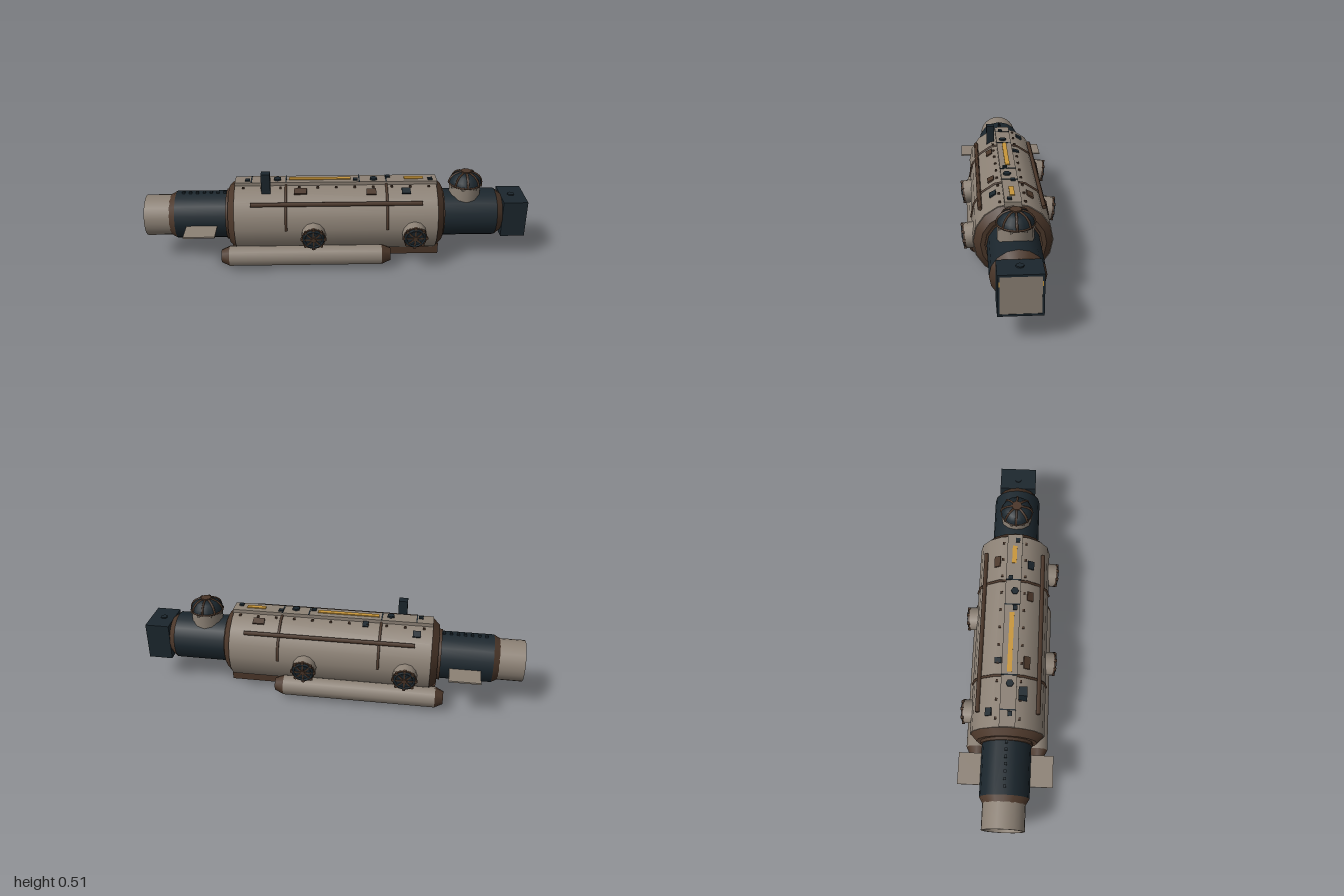
import * as THREE from 'three';

const mat = (color) => new THREE.MeshStandardMaterial({ color, side: THREE.DoubleSide });
const GREY = mat(0x8c8175), BROWN = mat(0x4a3629), DARK = mat(0x1b262d), YELLOW = mat(0xc8963a);
const AXIS = 0.238; // height of the hull centreline

export function createModel() {
  const model = new THREE.Group();

  const add = (parent, name, geometry, material, x = 0, y = 0, z = 0) => {
    const mesh = new THREE.Mesh(geometry, material);
    mesh.name = name;
    mesh.position.set(x, y, z);
    parent.add(mesh);
    return mesh;
  };
  const box = (name, m, w, h, d, x, y, z, parent = model) =>
    add(parent, name, new THREE.BoxGeometry(w, h, d), m, x, y, z);
  // Cylinder lying along x from x0 (radius r0) to x1 (radius r1)
  const tube = (name, m, x0, x1, r0, r1, sides = 16, y = AXIS, z = 0, open = false) =>
    add(model, name, new THREE.CylinderGeometry(r1, r0, x1 - x0, sides, 1, open).rotateZ(-Math.PI / 2),
      m, (x0 + x1) / 2, y, z);

  // Main hull with chamfered end collars
  tube('hull', GREY, -0.525, 0.52, 0.191, 0.191);
  for (const s of [-1, 1]) {
    const end = s < 0 ? -0.56 : 0.555, start = s < 0 ? -0.525 : 0.52;
    if (s < 0) tube('rearCollar', BROWN, end, start, 0.155, 0.187);
    else tube('frontCollar', BROWN, start, end, 0.187, 0.155);
  }
  box('keel', BROWN, 1.115, 0.06, 0.08, -0.003, 0.03, 0);

  // Bow section and camera head
  tube('bowSection', DARK, 0.54, 0.84, 0.126, 0.126);
  tube('bowBaseRing', BROWN, 0.545, 0.565, 0.135, 0.135);
  tube('bowTaper', BROWN, 0.84, 0.875, 0.126, 0.1);
  box('headBox', DARK, 0.12, 0.198, 0.198, 0.933, 0.237, 0);
  for (const s of [-1, 1]) {
    box('headFrameBar', DARK, 0.01, 0.01, 0.198, 0.995, 0.237 + s * 0.094, 0);
    box('headFramePost', DARK, 0.01, 0.198, 0.01, 0.995, 0.237, s * 0.094);
    box('headMarker', YELLOW, 0.004, 0.022, 0.004, 0.9985, 0.292, s * 0.091);
  }
  box('headPanel', GREY, 0.008, 0.18, 0.18, 0.994, 0.237, 0);
  add(model, 'headButton', new THREE.CylinderGeometry(0.018, 0.018, 0.008, 8), DARK, 0.93, 0.338, 0);

  // Stern section, open duct and propeller
  tube('sternSection', DARK, -0.84, -0.54, 0.126, 0.126);
  tube('sternBaseRing', BROWN, -0.575, -0.555, 0.135, 0.135);
  tube('sternTaper', BROWN, -0.872, -0.84, 0.108, 0.126);
  tube('ductOuter', GREY, -1, -0.865, 0.108, 0.108, 24, AXIS, 0, true);
  tube('ductInner', GREY, -1, -0.865, 0.096, 0.092, 24, AXIS, 0, true);
  add(model, 'ductLip', new THREE.RingGeometry(0.096, 0.108, 24).rotateY(-Math.PI / 2), GREY, -1, AXIS, 0);
  const propeller = new THREE.Group();
  propeller.name = 'propeller';
  propeller.position.set(-0.955, AXIS, 0);
  model.add(propeller);
  add(propeller, 'hub', new THREE.CylinderGeometry(0.026, 0.014, 0.07, 10).rotateZ(-Math.PI / 2), DARK);
  for (let i = 0; i < 5; i++) {
    const arm = new THREE.Group();
    arm.rotation.x = (i / 5) * Math.PI * 2;
    propeller.add(arm);
    box('blade', DARK, 0.006, 0.075, 0.034, 0, 0.052, 0, arm).rotation.y = 0.6;
  }
  for (let i = 0; i < 7; i++) box('sternBolt', DARK, 0.014, 0.012, 0.014, -0.8 + i * 0.036, 0.367, 0);

  // Parts repeated on both sides
  for (const s of [-1, 1]) {
    box('sternFin', GREY, 0.16, 0.008, 0.14, -0.7, 0.23, s * 0.17);

    // Ballast tanks with tapered caps
    tube('ballastTank', GREY, -0.56, 0.235, 0.055, 0.055, 8, 0.074, s * 0.16);
    tube('tankRearCap', BROWN, -0.602, -0.56, 0.034, 0.055, 8, 0.074, s * 0.16);
    tube('tankFrontCap', BROWN, 0.235, 0.282, 0.055, 0.034, 8, 0.074, s * 0.16);

    tube('sideRail', BROWN, -0.44, 0.44, 0.011, 0.011, 6, 0.368, s * 0.153);

    // Portholes, pointing outward and slightly down
    for (const x of s > 0 ? [-0.12, 0.4] : [-0.4, 0.12]) {
      const port = new THREE.Group();
      port.name = 'porthole';
      port.position.set(x, AXIS, 0);
      port.rotation.x = s * (Math.PI / 2 + 0.13);
      model.add(port);
      const disc = (name, m, r, h, y, n = 12) => add(port, name, new THREE.CylinderGeometry(r, r, h, n), m, 0, y, 0);
      disc('portholeNeck', GREY, 0.063, 0.08, 0.185);
      disc('portholeFlange', BROWN, 0.062, 0.01, 0.228);
      disc('portholeGlass', DARK, 0.042, 0.008, 0.232);
      add(port, 'portholeRim', new THREE.TorusGeometry(0.05, 0.007, 6, 16).rotateX(Math.PI / 2), DARK, 0, 0.233, 0);
      for (let i = 0; i < 8; i++) {
        const a = (i / 8) * Math.PI * 2;
        add(port, 'portholeBolt', new THREE.CylinderGeometry(0.009, 0.009, 0.014, 6), BROWN,
          Math.cos(a) * 0.058, 0.232, Math.sin(a) * 0.058);
      }
      for (let i = 0; i < 4; i++)
        box('portholeBar', BROWN, 0.092, 0.006, 0.008, 0, 0.236, 0, port).rotation.y = (i / 4) * Math.PI;
      disc('portholeBoss', BROWN, 0.014, 0.012, 0.238, 8);
    }
    // Rivets beside the deck
    for (let i = 0; i < 11; i++)
      box('deckRivet', BROWN, 0.012, 0.012, 0.012, -0.48 + i * 0.096, 0.418, s * 0.06);
  }

  // Straps arching over the hull
  for (const x of [-0.26, 0.26])
    add(model, 'strap', new THREE.TorusGeometry(0.192, 0.007, 6, 8, Math.PI).rotateY(Math.PI / 2), BROWN, x, AXIS, 0);

  // Deck spine with markings and fittings
  box('deck', GREY, 1.05, 0.035, 0.08, 0, 0.4215, 0);
  box('deckStripe', YELLOW, 0.32, 0.006, 0.024, -0.085, 0.441, 0);
  box('deckStripe', YELLOW, 0.1, 0.006, 0.024, 0.405, 0.441, 0);
  for (const x of [-0.44, -0.26, 0.12, 0.26]) box('deckSeam', DARK, 0.006, 0.003, 0.08, x, 0.44, 0);
  for (const [x, z] of [[-0.305, 0.005], [0.195, 0.01]])
    add(model, 'deckHatch', new THREE.CylinderGeometry(0.02, 0.02, 0.012, 6), DARK, x, 0.442, z);
  for (const [x, z] of [[-0.46, 0.012], [0.1, 0.015], [0.27, -0.015], [0.49, 0.015]])
    box('deckFitting', DARK, 0.024, 0.01, 0.022, x, 0.441, z);
  // Small plates lying on the hull's curve
  for (const [x, z, w, m] of [[-0.445, -0.095, 0.04, DARK], [0.36, 0.088, 0.045, DARK], [-0.185, 0.085, 0.065, BROWN],
    [0.375, -0.088, 0.06, BROWN], [-0.18, -0.06, 0.03, DARK], [0.18, 0.09, 0.05, BROWN]])
    box('hullPlate', m, w, 0.012, 0.035, x, AXIS + Math.sqrt(0.19 ** 2 - z * z), z).rotation.x = Math.asin(z / 0.19);

  box('periscope', DARK, 0.046, 0.117, 0.043, -0.362, 0.449, 0.072);

  // Observation turret with ribbed dome
  const turret = new THREE.Group();
  turret.name = 'turret';
  turret.position.set(0.68, 0, 0);
  model.add(turret);
  add(turret, 'turretNeck', new THREE.CylinderGeometry(0.083, 0.083, 0.11, 12), GREY, 0, 0.358, 0);
  const profile = [[0.086, 0.41], [0.079, 0.435], [0.06, 0.456], [0.034, 0.468], [0, 0.471]];
  add(turret, 'dome', new THREE.LatheGeometry(profile.map((p) => new THREE.Vector2(...p)), 16), DARK);
  add(turret, 'domeRing', new THREE.TorusGeometry(0.084, 0.005, 6, 16).rotateX(Math.PI / 2), BROWN, 0, 0.411, 0);
  const ribPath = new THREE.CatmullRomCurve3(profile.map(([r, y]) => new THREE.Vector3(r, y, 0)));
  for (let i = 0; i < 8; i++) {
    const a = (i / 8) * Math.PI * 2;
    add(turret, 'domeRib', new THREE.TubeGeometry(ribPath, 8, 0.006, 5), BROWN).rotation.y = a;
    box('turretBolt', GREY, 0.012, 0.009, 0.012, Math.cos(a + 0.3) * 0.083, 0.403, Math.sin(a + 0.3) * 0.083, turret);
  }
  add(turret, 'domeCap', new THREE.CylinderGeometry(0.027, 0.027, 0.007, 10), BROWN, 0, 0.475, 0);

  return model;
}
